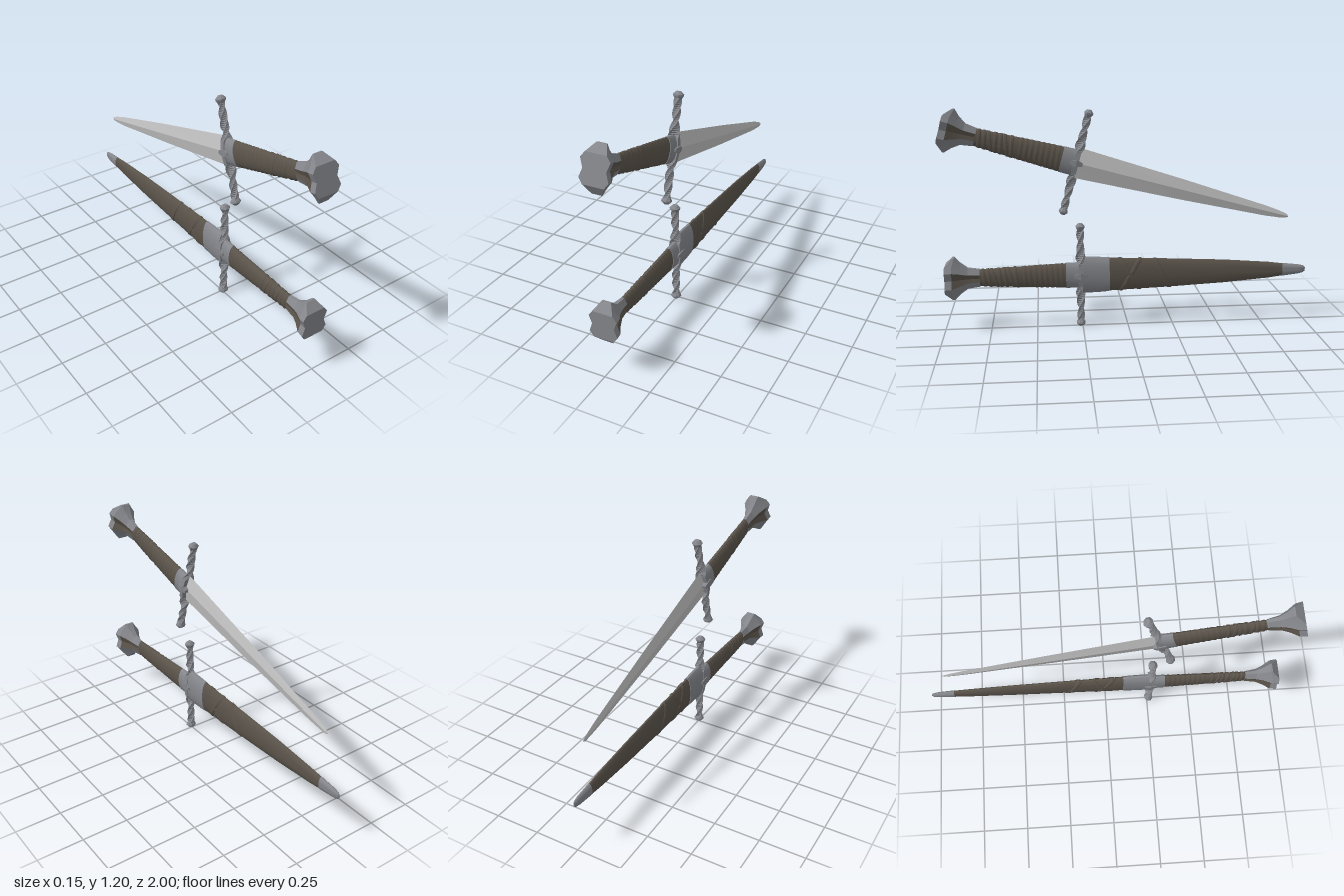
import * as THREE from 'three';
import { toCreasedNormals } from 'three/addons/utils/BufferGeometryUtils.js';

const mat = (name, color) => {
  const m = new THREE.MeshStandardMaterial({ color });
  m.name = name;
  return m;
};

// Skins counter-clockwise rings that advance along +z; "keep" picks side strips
function loft(rings, { keep = () => true, caps = true, crease = 0.6 } = {}) {
  const n = rings[0].length, pos = [];
  const quad = (a, b, c, d) => pos.push(...a, ...b, ...c, ...a, ...c, ...d);
  for (let k = 0; k < rings.length - 1; k++) {
    const p = rings[k], q = rings[k + 1];
    for (let i = 0; i < n; i++) {
      const j = (i + 1) % n;
      if (keep(i, k)) quad(p[i], p[j], q[j], q[i]);
    }
  }
  if (caps) {
    const first = rings[0], last = rings[rings.length - 1];
    for (let j = 0; j < n / 2 - 1; j++) {
      quad(last[j], last[j + 1], last[n - 2 - j], last[n - 1 - j]);
      quad(first[n - 1 - j], first[n - 2 - j], first[j + 1], first[j]);
    }
  }
  const g = new THREE.BufferGeometry();
  g.setAttribute('position', new THREE.Float32BufferAttribute(pos, 3));
  return toCreasedNormals(g, crease);
}

// Oval ring, optionally slanted along z by its height
const oval = (z, rx, ry, slant = 0, n = 16) =>
  Array.from({ length: n }, (_, i) => {
    const a = ((i + 0.5) / n) * Math.PI * 2 - Math.PI / 2;
    const y = Math.sin(a) * ry;
    return [Math.cos(a) * rx, y, z + y * slant];
  });

// Linear lookup in rows of [z, rx, ry] ordered by rising z
function sizeAt(rows, z) {
  let i = 0;
  while (i < rows.length - 2 && z > rows[i + 1][0]) i++;
  const t = THREE.MathUtils.clamp((z - rows[i][0]) / (rows[i + 1][0] - rows[i][0]), 0, 1);
  return [1, 2].map((c) => THREE.MathUtils.lerp(rows[i][c], rows[i + 1][c], t));
}

// Raised band wrapped at a slant around a tapering oval body
function band(rows, z, slant, width, lift) {
  const ring = (dz, up) =>
    oval(0, 1, 1).map(([ux, uy]) => {
      const zz = z + dz + uy * sizeAt(rows, z)[1] * slant;
      const [rx, ry] = sizeAt(rows, zz);
      return [ux * (rx + up), uy * (ry + up), zz];
    });
  return loft([ring(-width / 2, -0.001), ring(-width / 4, lift), ring(width / 4, lift), ring(width / 2, -0.001)],
    { caps: false });
}

const GRIP = [[0.07, 0.027, 0.069], [0.3, 0.025, 0.059], [0.56, 0.02, 0.046]];
const SHEATH = [
  [-1.14, 0.014, 0.034], [-1.05, 0.016, 0.046], [-0.8, 0.019, 0.066],
  [-0.5, 0.022, 0.081], [-0.16, 0.026, 0.094],
];

export function createModel() {
  const steel = mat('steel', 0x85878c);
  const bladeSteel = mat('bladeSteel', 0xc4c4c4);
  const leather = mat('leather', 0x5b544b);

  const add = (parent, name, geometry, material) => {
    const m = new THREE.Mesh(geometry, material);
    m.name = name;
    parent.add(m);
    return m;
  };

  // Hilt: origin at the guard, pommel toward +z
  function hilt() {
    const g = new THREE.Group();
    g.name = 'hilt';

    // Fluted pommel with bevelled top and bottom
    const half = [[0.026, -0.115], [0.055, -0.073], [0.076, -0.045], [0.06, 0],
      [0.076, 0.045], [0.055, 0.073], [0.026, 0.115]];
    const outline = [...half, ...half.map(([x, y]) => [-x, y]).reverse()];
    const section = ([z, sx, sy, bend]) =>
      outline.map(([x, y]) => [x * sx, y * sy, z - (Math.abs(y) > 0.1 ? bend : 0)]);
    const rings = [[0.545, 0.3, 0.42, 0], [0.61, 0.42, 0.5, 0], [0.65, 0.62, 0.74, 0],
      [0.692, 0.93, 1, 0.012], [0.73, 1, 1, 0.04]].map(section);
    const flute = (i, k) => [2, 3, 9, 10].includes(i) && k < 3;
    add(g, 'pommel', loft(rings, { keep: (i, k) => !flute(i, k), crease: 0.2 }), steel);
    add(g, 'pommelFlutes', loft(rings, { keep: flute, caps: false, crease: 0.2 }), leather);

    // Grip with leather wraps
    add(g, 'grip', loft(GRIP.map(([z, rx, ry]) => oval(z, rx, ry))), leather);
    for (let i = 0; i < 7; i++) {
      add(g, 'gripWrap', band(GRIP, 0.35 + i * 0.029, i % 3 === 1 ? 0.35 : 0.15, 0.024, 0.003), leather);
    }
    for (let i = 0; i < 8; i++) {
      add(g, 'gripCord', band(GRIP, 0.1 + i * 0.029, 0.05, 0.026, 0.0015), leather);
    }
    add(g, 'collar', loft([oval(-0.005, 0.031, 0.073), oval(0.08, 0.03, 0.071)]), steel);

    // Twisted crossguard, wide at the middle
    const bar = [];
    for (let i = 0; i <= 48; i++) {
      const t = -0.26 + (0.52 * i) / 48, a = Math.abs(t);
      const hx = 0.017 + 0.021 * Math.max(0, 1 - a / 0.15), hy = 0.013;
      const w = (Math.sign(t) * Math.max(0, a - 0.06) * Math.PI) / 0.13;
      const c = Math.cos(w), s = Math.sin(w);
      bar.push([[hx, -hy], [hx, hy], [-hx, hy], [-hx, -hy]]
        .map(([x, y]) => [x * c - y * s, x * s + y * c, t]));
    }
    add(g, 'crossguard', loft(bar, { crease: 0.5 }), steel).rotation.x = -Math.PI / 2;
    for (const s of [1, -1]) {
      const cap = loft([[0.245, 0.013], [0.266, 0.027], [0.275, 0.029], [0.29, 0.013]]
        .map(([z, r]) => oval(z, r, r * 0.9, 0, 8)), { crease: 0.3 });
      add(g, 'guardCap', cap, steel).rotation.x = (-s * Math.PI) / 2;
    }
    // Pointed lug across the guard
    const lug = loft([[-0.035, 0.036, 0.008], [0, 0.041, 0.02], [0.035, 0.036, 0.008]]
      .map(([z, rx, ry]) => [[rx, -ry], [rx, ry], [-rx, ry], [-rx, -ry]].map(([x, y]) => [x, y, z])),
    { crease: 0.2 });
    add(g, 'guardLug', lug, steel);
    return g;
  }

  const model = new THREE.Group();
  model.name = 'daggerPair';

  // Sheathed dagger, lying level
  const sheathed = new THREE.Group();
  sheathed.name = 'sheathedDagger';
  sheathed.position.set(0, 0.29, 0.26);
  sheathed.add(hilt());
  add(sheathed, 'sheath', loft(SHEATH.map(([z, rx, ry]) => oval(z, rx, ry))), leather);
  add(sheathed, 'sheathThroat', loft([oval(-0.158, 0.029, 0.097), oval(-0.1, 0.031, 0.101),
    oval(-0.01, 0.032, 0.103)]), steel);
  add(sheathed, 'sheathTip', loft([oval(-1.26, 0.004, 0.012), oval(-1.25, 0.009, 0.02),
    oval(-1.22, 0.013, 0.027), oval(-1.13, 0.0165, 0.037)]), steel);
  for (const [z, slant] of [[-0.27, 0.6], [-0.275, -0.6], [-0.45, 0.5]]) {
    add(sheathed, 'sheathStrap', band(SHEATH, z, slant, 0.03, 0.004), leather);
  }
  model.add(sheathed);

  // Drawn dagger, tilted point down
  const drawn = new THREE.Group();
  drawn.name = 'drawnDagger';
  drawn.position.set(0, 0.912, 0.278);
  drawn.rotation.x = THREE.MathUtils.degToRad(-15.2);
  drawn.add(hilt());
  const blade = [[-1.212, 0.001, 0.003], [-1.2, 0.003, 0.011], [-1.16, 0.005, 0.019],
    [-1.08, 0.007, 0.028], [-0.6, 0.012, 0.056], [0, 0.016, 0.083]]
    .map(([z, t, h]) => [[0, -h, z], [t, 0, z], [0, h, z], [-t, 0, z]]);
  add(drawn, 'blade', loft(blade, { crease: 0.15 }), bladeSteel);
  model.add(drawn);

  return model;
}
